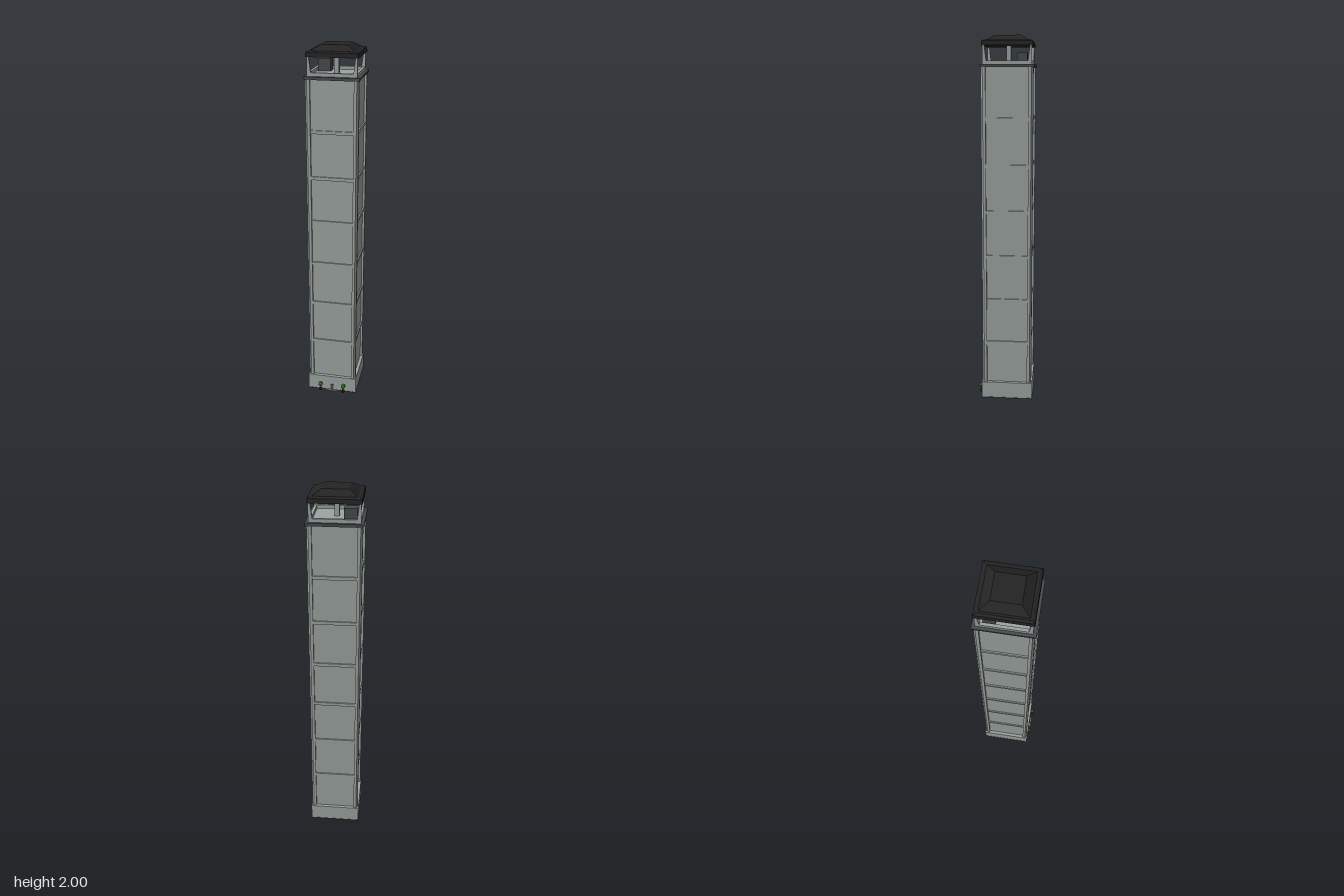
import * as THREE from 'three';

export function createModel() {
  const root = new THREE.Group();
  root.name = 'tower';
  const mat = (name, color) => {
    const m = new THREE.MeshStandardMaterial({ color, flatShading: true });
    m.name = name;
    return m;
  };
  const concrete = mat('concrete', 0x9da5a1);
  const slate = mat('slate', 0x474c50);
  const roofing = mat('roofing', 0x242424);
  const leaf = mat('leaf', 0x2f8a1c);
  const bark = mat('bark', 0x3a2a1c);

  // The shaft stands slightly behind the origin
  const tower = new THREE.Group();
  tower.name = 'shaft';
  tower.position.z = -0.01;
  root.add(tower);

  const add = (parent, name, geo, m, x = 0, y = 0, z = 0) => {
    const mesh = new THREE.Mesh(geo, m);
    mesh.name = name;
    mesh.position.set(x, y, z);
    parent.add(mesh);
    return mesh;
  };
  const box = (parent, name, m, w, h, d, x, y0, z) =>
    add(parent, name, new THREE.BoxGeometry(w, h, d), m, x, y0 + h / 2, z);

  const square = (h, T) => {
    const s = new T();
    s.moveTo(-h, -h); s.lineTo(h, -h); s.lineTo(h, h); s.lineTo(-h, h); s.closePath();
    return s;
  };
  const extrudeUp = (shape, height) =>
    new THREE.ExtrudeGeometry(shape, { depth: height, bevelEnabled: false }).rotateX(-Math.PI / 2);
  // Square tube with half widths out and inn
  const ring = (name, m, out, inn, y0, y1) => {
    const s = square(out, THREE.Shape);
    s.holes.push(square(inn, THREE.Path));
    add(tower, name, extrudeUp(s, y1 - y0), m, 0, y0);
  };
  // Four-sided frustum with half widths
  const frustum = (parent, name, m, bottom, top, x, y0, y1, z) =>
    add(parent, name,
      new THREE.CylinderGeometry(top * Math.SQRT2, bottom * Math.SQRT2, y1 - y0, 4).rotateY(Math.PI / 4),
      m, x, (y0 + y1) / 2, z);

  // Hollow base and recessed walls
  ring('baseTrim', slate, 0.1435, 0.115, 0, 0.005);
  ring('base', concrete, 0.142, 0.115, 0.005, 0.095);
  ring('wallPanels', concrete, 0.125, 0.115, 0.095, 1.84);

  // Chamfered corner columns
  const corner = new THREE.Shape([[0.112, 0.112], [0.137, 0.112], [0.137, 0.127], [0.127, 0.137], [0.112, 0.137]]
    .map(p => new THREE.Vector2(...p)));
  for (let i = 0; i < 4; i++) {
    const c = add(tower, 'cornerColumn', extrudeUp(corner, 1.745), concrete, 0, 0.095);
    c.rotation.y = i * Math.PI / 2;
  }
  // Horizontal bands
  for (let i = 0; i < 6; i++) {
    const y = 0.33 + i * 0.248;
    ring('wallBand', concrete, 0.132, 0.114, y - 0.009, y + 0.009);
  }

  // Ledge, deck and parapet
  ring('ledgeLower', slate, 0.139, 0.115, 1.836, 1.842);
  ring('ledge', slate, 0.143, 0.115, 1.842, 1.852);
  box(tower, 'deck', concrete, 0.234, 0.012, 0.234, 0, 1.84, 0);
  ring('parapet', concrete, 0.128, 0.113, 1.852, 1.87);

  // Tapered corner posts holding the roof, wider at the foot
  for (let i = 0; i < 4; i++) {
    const g = new THREE.BoxGeometry(0.02, 0.08, 0.02);
    const p = g.attributes.position;
    for (let k = 0; k < p.count; k++) {
      if (p.getY(k) > 0) {
        if (p.getX(k) < 0) p.setX(k, 0);
        if (p.getZ(k) < 0) p.setZ(k, 0);
      }
    }
    g.translate(0.118, 1.91, 0.118).rotateY(i * Math.PI / 2);
    g.computeVertexNormals();
    add(tower, 'roofPost', g, concrete);
  }
  box(tower, 'centrePole', concrete, 0.025, 0.1, 0.025, 0, 1.85, 0);
  box(tower, 'equipmentBox', slate, 0.066, 0.064, 0.055, -0.075, 1.852, -0.068);

  // Roof with vertical rim, sloping hip and flat top
  frustum(tower, 'roofRim', roofing, 0.134, 0.132, 0, 1.946, 1.968, 0);
  frustum(tower, 'roofHip', roofing, 0.12, 0.068, 0, 1.968, 2, 0);
  frustum(tower, 'roofSkirt', roofing, 0.132, 0.12, 0, 1.968, 1.974, 0);

  // Entrance
  box(root, 'door', slate, 0.018, 0.036, 0.004, 0, 0.006, 0.1335);
  box(root, 'doorStep', concrete, 0.06, 0.005, 0.012, 0, 0, 0.135);

  // Potted trees beside the door
  for (const s of [-1, 1]) {
    const tree = new THREE.Group();
    tree.name = 'pottedTree';
    tree.position.set(s * 0.068, 0, 0.143);
    root.add(tree);
    frustum(tree, 'pot', roofing, 0.006, 0.008, 0, 0, 0.012, 0);
    box(tree, 'trunk', bark, 0.004, 0.026, 0.004, 0, 0.01, 0);
    frustum(tree, 'crownLower', leaf, 0.006, 0.01, 0, 0.034, 0.04, 0);
    box(tree, 'crown', leaf, 0.02, 0.008, 0.02, 0, 0.04, 0);
    frustum(tree, 'crownUpper', leaf, 0.01, 0.006, 0, 0.048, 0.054, 0);
  }
  return root;
}
